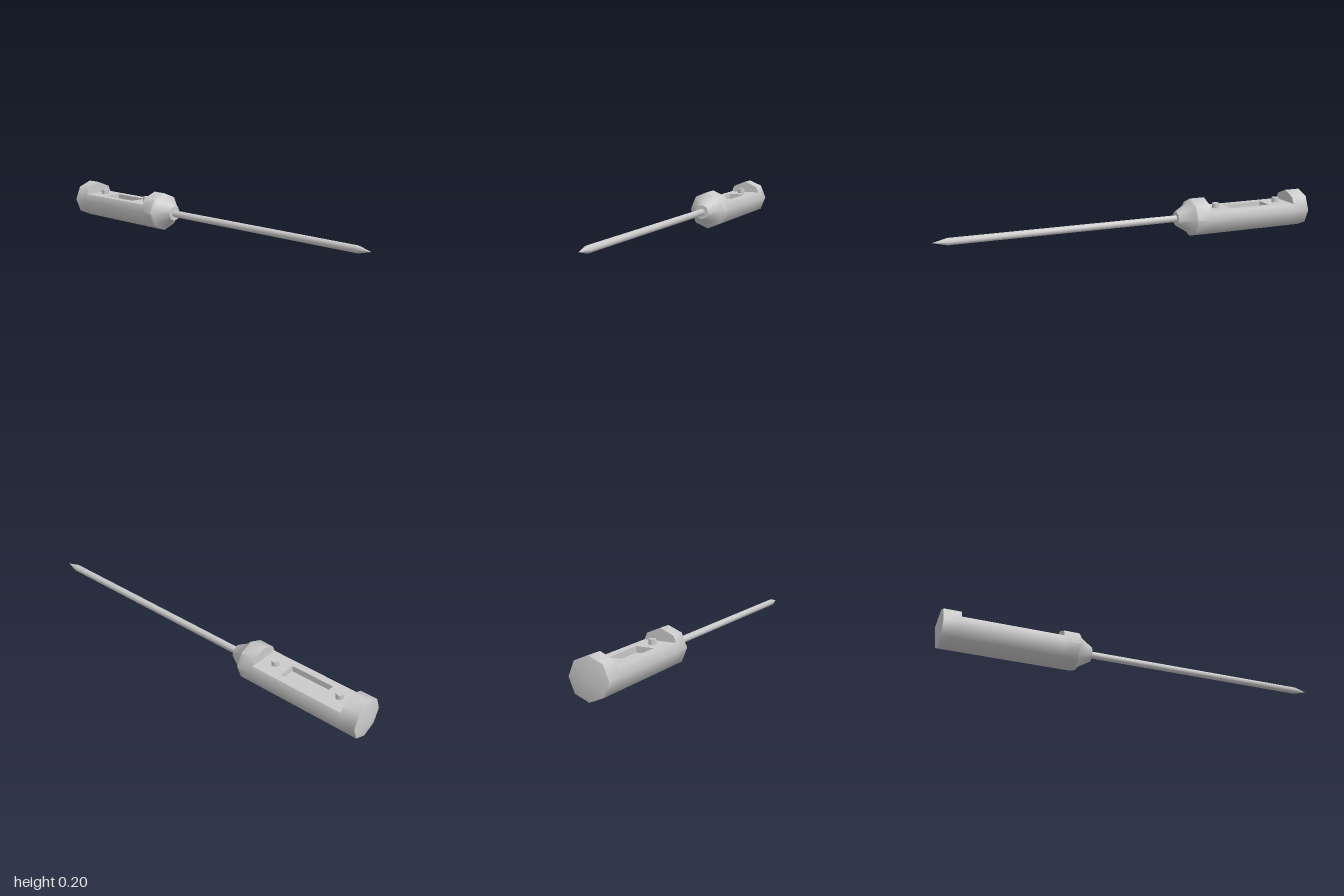
import * as THREE from 'three';
import { mergeGeometries, toCreasedNormals } from 'three/addons/utils/BufferGeometryUtils.js';

const R = 0.099, CY = 0.099;            // handle radius and axis height
const FLOOR = 0.137;                    // height of the cut-out floor
const CUT_BACK = -0.895, CUT_FRONT = -0.4;
const CREASE = 0.9;                     // keeps the eight sides smooth, ends sharp

// Eight-sided turned solid along z, from [radius, z] pairs (back to front)
function turned(points) {
  const g = new THREE.LatheGeometry(points.map(p => new THREE.Vector2(...p)), 8);
  g.rotateX(Math.PI / 2).translate(0, CY, 0);
  return g;
}

// Strips joining a cross-section's points between two depths
function sweep(section, z0, z1) {
  const pos = [];
  for (let i = 0; i < section.length - 1; i++) {
    const [ax, ay] = section[i], [bx, by] = section[i + 1];
    pos.push(ax, ay, z0, ax, ay, z1, bx, by, z1, ax, ay, z0, bx, by, z1, bx, by, z0);
  }
  const g = new THREE.BufferGeometry();
  g.setAttribute('position', new THREE.Float32BufferAttribute(pos, 3));
  return g;
}

function join(parts) {
  const plain = parts.map(p => {
    const g = p.index ? p.toNonIndexed() : p;
    g.deleteAttribute('uv');
    g.deleteAttribute('normal');
    g.computeVertexNormals();
    return g;
  });
  return toCreasedNormals(mergeGeometries(plain), CREASE);
}

export function createModel() {
  const group = new THREE.Group();
  const material = new THREE.MeshStandardMaterial({ color: 0xcccccc });
  const add = (name, geometry) => {
    const mesh = new THREE.Mesh(geometry, material);
    mesh.name = name;
    group.add(mesh);
    return mesh;
  };

  // Octagon corners and the points where the floor meets its sides
  const corner = i => [R * Math.sin(i * Math.PI / 4), CY + R * Math.cos(i * Math.PI / 4)];
  const [c1, c2] = [corner(1), corner(2)];
  const floorX = c2[0] + (c1[0] - c2[0]) * (FLOOR - c2[1]) / (c1[1] - c2[1]);

  // Walls at both ends of the cut-out
  const wall = new THREE.Shape([
    [floorX, FLOOR], corner(1), corner(0), corner(7), [-floorX, FLOOR],
  ].map(p => new THREE.Vector2(...p)));
  const backWall = new THREE.ShapeGeometry(wall).translate(0, 0, CUT_BACK);
  const frontWall = new THREE.ShapeGeometry(wall).rotateY(Math.PI).translate(0, 0, CUT_FRONT);

  // Handle ends and the lower shell between them
  const shell = [[-floorX, FLOOR]];
  for (let i = 6; i >= 2; i--) shell.push(corner(i));
  shell.push([floorX, FLOOR]);
  shell.reverse();
  add('handle', join([
    turned([[0, -1], [R, -0.98], [R, CUT_BACK]]),
    sweep(shell, CUT_BACK, CUT_FRONT),
    turned([[R, CUT_FRONT], [R, -0.322], [0.09, -0.312], [0.076, -0.303],
      [0.038, -0.24], [0, -0.24]]),
    backWall, frontWall,
  ]));

  // Flat panel with the display opening
  const rect = (Type, x, z0, z1) => new Type([
    [-x, -z0], [x, -z0], [x, -z1], [-x, -z1],
  ].map(p => new THREE.Vector2(...p)));
  const panel = rect(THREE.Shape, floorX, CUT_FRONT, CUT_BACK);
  panel.holes.push(rect(THREE.Path, 0.045, -0.538, -0.765));
  add('controlPanel', new THREE.ShapeGeometry(panel).rotateX(-Math.PI / 2).translate(0, FLOOR, 0));

  // Sunken display: an inward-facing box without its lid
  const box = new THREE.BoxGeometry(0.09, 0.03, 0.227);
  const idx = Array.from(box.index.array);
  idx.splice(12, 6);
  box.setIndex(idx);
  box.scale(-1, 1, 1);
  box.computeVertexNormals();
  add('displayRecess', box.translate(0, FLOOR - 0.015, -0.6515));

  // Buttons at either end of the display
  for (const [name, z] of [['frontButton', -0.47], ['backButton', -0.832]]) {
    const g = new THREE.CylinderGeometry(0.019, 0.019, 0.026, 12);
    add(name, g).position.set(0, FLOOR + 0.012, z);
  }

  // Thin probe with a sharp tip
  add('probe', join([turned([[0.018, -0.245], [0.018, 0.93], [0, 1]])]));
  return group;
}
